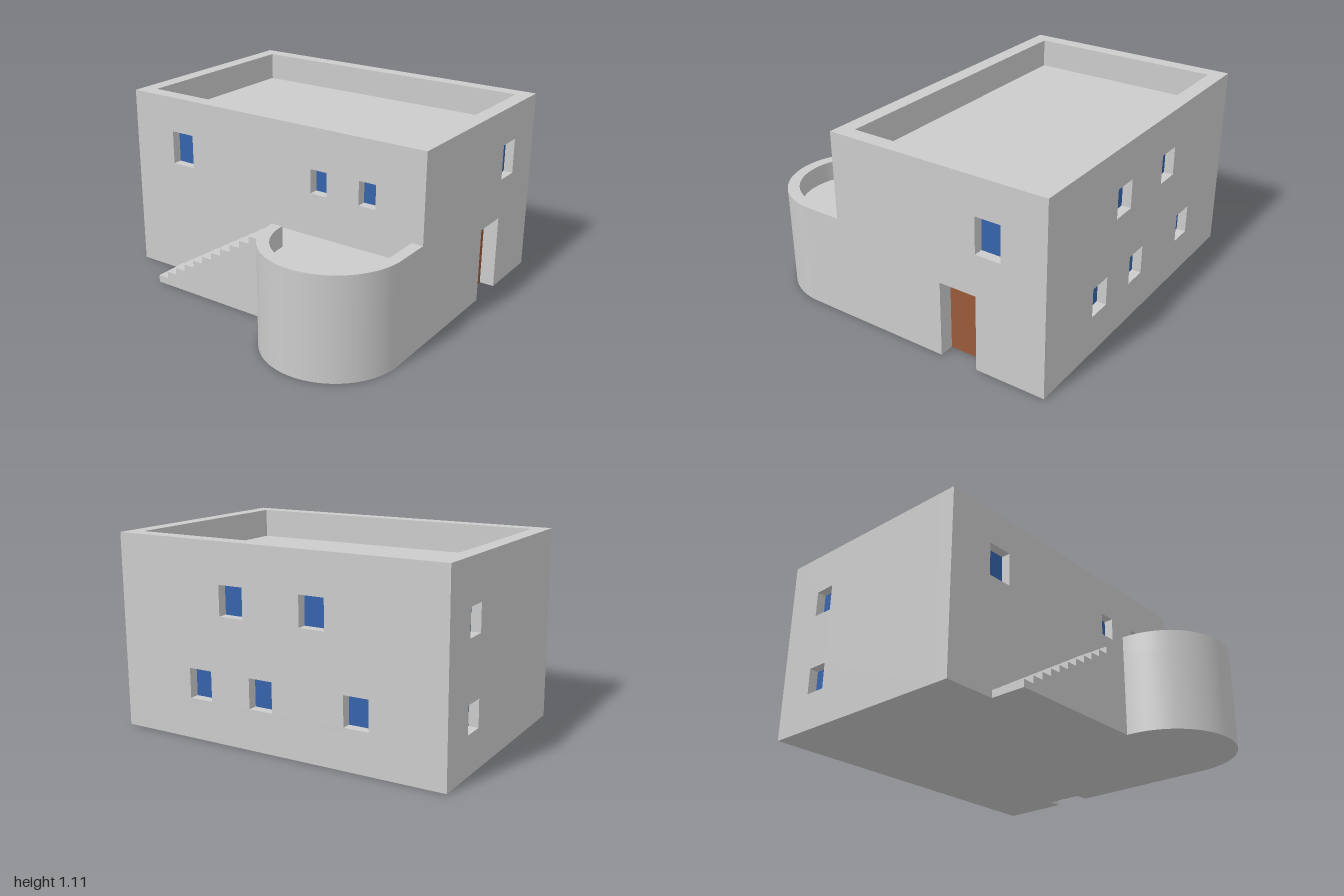
import * as THREE from 'three';
import { toCreasedNormals } from 'three/addons/utils/BufferGeometryUtils.js';

const plaster = new THREE.MeshStandardMaterial({ color: 0xcbcbcb });
plaster.name = 'plaster';
const glass = new THREE.MeshStandardMaterial({ color: 0x3563ab });
glass.name = 'blueGlass';
const wood = new THREE.MeshStandardMaterial({ color: 0x9a5a3b });
wood.name = 'brownWood';

const HEIGHT = 1.11, BACK = -0.972, FRONT = 0.358;
const WALL = 0.09, RECESS = 0.055, DOOR_RECESS = 0.088;
const ROOF = 0.94, TERRACE = 0.48, PARAPET = 0.6;

function add(parent, name, geometry, material, x = 0, y = 0, z = 0) {
  const mesh = new THREE.Mesh(geometry, material);
  mesh.name = name;
  mesh.position.set(x, y, z);
  parent.add(mesh);
  return mesh;
}

// Wall from u0 to u1 with its outer face on local z = 0.
// Openings are [left, right, bottom, top]; the door reaches the ground.
function makeWall(name, u0, u1, windows, door) {
  const wall = new THREE.Group();
  wall.name = name;
  const shape = new THREE.Shape();
  shape.moveTo(u0, 0);
  if (door) {
    const [l, r, , t] = door;
    shape.lineTo(l, 0).lineTo(l, t).lineTo(r, t).lineTo(r, 0);
  }
  shape.lineTo(u1, 0).lineTo(u1, HEIGHT).lineTo(u0, HEIGHT).closePath();
  for (const [l, r, b, t] of windows) {
    const hole = new THREE.Path();
    hole.moveTo(l, b).lineTo(l, t).lineTo(r, t).lineTo(r, b).closePath();
    shape.holes.push(hole);
  }
  const panel = new THREE.ExtrudeGeometry(shape, { depth: WALL, bevelEnabled: false });
  add(wall, name + 'Panel', panel, plaster, 0, 0, -WALL);

  const fill = (label, [l, r, b, t], depth, material) =>
    add(wall, label, new THREE.BoxGeometry(r - l, t - b, 0.008), material,
      (l + r) / 2, (b + t) / 2, -depth - 0.004);
  windows.forEach((w) => fill('windowPane', w, RECESS, glass));
  if (door) fill('door', door, DOOR_RECESS, wood);
  return wall;
}

// Plan outline (x, z) raised from y0 to y1
function raise(shape, y0, y1) {
  const g = new THREE.ExtrudeGeometry(shape, { depth: y1 - y0, bevelEnabled: false, curveSegments: 40 });
  g.rotateX(Math.PI / 2);
  g.translate(0, y1, 0);
  return toCreasedNormals(g, 0.5);
}

export function createModel() {
  const model = new THREE.Group();
  model.name = 'house';

  // Four outer walls with recessed openings
  const front = makeWall('frontWall', -1, 1, [
    [-0.71, -0.555, 0.7, 0.9], [0.295, 0.4, 0.73, 0.87], [0.605, 0.71, 0.73, 0.87],
  ]);
  front.position.z = FRONT;

  const back = makeWall('backWall', -1, 1, [
    [-0.33, -0.18, 0.71, 0.88], [0.17, 0.32, 0.71, 0.88],
    [-0.545, -0.4, 0.23, 0.4], [-0.15, -0.005, 0.23, 0.4], [0.428, 0.573, 0.23, 0.4],
  ]);
  back.rotation.y = Math.PI;
  back.position.z = BACK;

  const inFront = FRONT - WALL, inBack = BACK + WALL;
  const doorSide = makeWall('doorSideWall', -inFront, -inBack,
    [[0.56, 0.71, 0.685, 0.895]], [0.335, 0.56, 0, 0.445]);
  doorSide.rotation.y = Math.PI / 2;
  doorSide.position.x = 1;

  const plainSide = makeWall('plainSideWall', inBack, inFront, [
    [-0.74, -0.612, 0.71, 0.865], [-0.74, -0.612, 0.22, 0.375],
  ]);
  plainSide.rotation.y = -Math.PI / 2;
  plainSide.position.x = -1;
  model.add(front, back, doorSide, plainSide);

  // Ground slab and sunken flat roof
  const slab = new THREE.BoxGeometry(2 - 2 * WALL, 0.02, inFront - inBack);
  const midZ = (inFront + inBack) / 2;
  add(model, 'groundSlab', slab, plaster, 0, 0.01, midZ);
  add(model, 'roof', slab, plaster, 0, ROOF - 0.01, midZ);

  // Round-ended terrace with its parapet
  const cx = 0.597, cz = 0.571, R = 0.403, r = 0.336;
  const base = new THREE.Shape();
  base.moveTo(cx - R, FRONT).lineTo(cx + R, FRONT).lineTo(cx + R, cz);
  base.absarc(cx, cz, R, 0, Math.PI, false);
  base.closePath();
  add(model, 'terrace', raise(base, 0, TERRACE), plaster);

  const rim = new THREE.Shape();
  rim.moveTo(cx + R, FRONT).lineTo(cx + R, cz);
  rim.absarc(cx, cz, R, 0, Math.PI, false);
  rim.lineTo(cx - r, cz);
  rim.absarc(cx, cz, r, Math.PI, 0, true);
  rim.lineTo(cx + r, FRONT).closePath();
  add(model, 'terraceParapet', raise(rim, TERRACE, PARAPET), plaster);

  // Solid stair climbing along the front wall to the terrace
  const steps = 11, startX = -0.68, run = 0.0707, rise = TERRACE / steps;
  const profile = new THREE.Shape();
  profile.moveTo(startX, 0);
  for (let i = 0; i < steps; i++) {
    const x = startX + i * run;
    profile.lineTo(x, (i + 1) * rise);
    profile.lineTo(i < steps - 1 ? x + run : cx - R, (i + 1) * rise);
  }
  profile.lineTo(cx - R, 0).closePath();
  const stair = new THREE.ExtrudeGeometry(profile, { depth: cz - FRONT, bevelEnabled: false });
  add(model, 'stair', stair, plaster, 0, 0, FRONT);

  return model;
}
